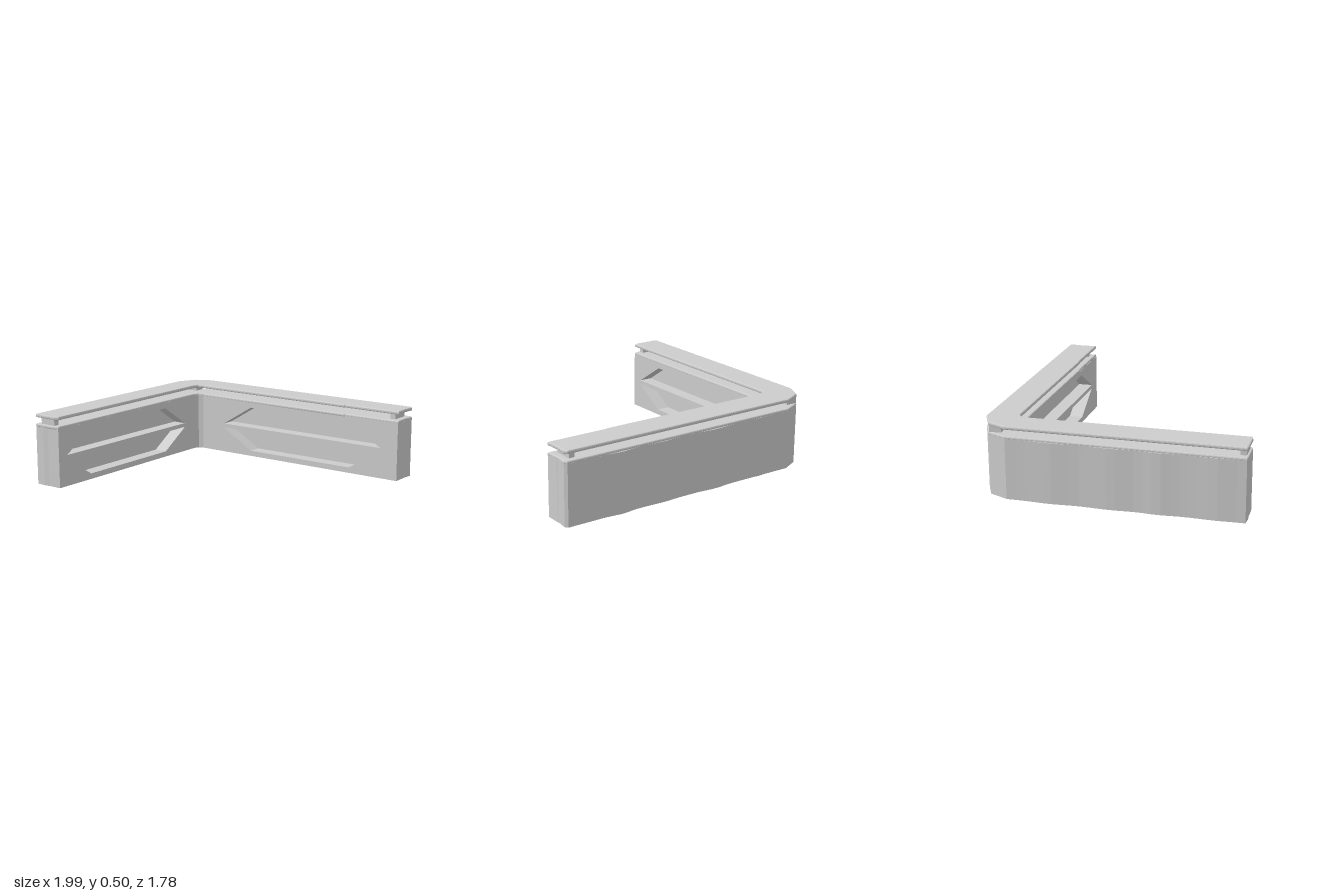
import * as THREE from 'three';

const mat = new THREE.MeshStandardMaterial({ color: 0xcccccc, side: THREE.DoubleSide });

const toShape = (pts) => new THREE.Shape(pts.map(([a, b]) => new THREE.Vector2(a, b)));

function addMesh(group, name, geometry) {
  const mesh = new THREE.Mesh(geometry, mat);
  mesh.name = name;
  group.add(mesh);
  return mesh;
}

// Extrudes a plan outline of [x, z] points upward from y0 to y1
function plate(outline, y0, y1, bevel = 0) {
  const geo = new THREE.ExtrudeGeometry(toShape(outline.map(([x, z]) => [x, -z])), {
    depth: y1 - y0 - 2 * bevel, bevelEnabled: bevel > 0,
    bevelThickness: bevel, bevelSize: bevel, bevelOffset: -bevel, bevelSegments: 2,
  });
  return geo.rotateX(-Math.PI / 2).translate(0, y0 + bevel, 0);
}

// Sum of soft bumps [centre, half width, height] along a wall
const bumps = (list, t) => list.reduce((s, [c, w, h]) =>
  s + (Math.abs(t - c) < w ? h * 0.5 * (1 + Math.cos(Math.PI * (t - c) / w)) : 0), 0);

const backBumps = [[-0.55, 0.08, 0.004], [-0.17, 0.16, 0.012], [0.25, 0.14, 0.007], [0.58, 0.12, 0.013]];
const sideBumps = [[-0.4, 0.2, 0.009], [0, 0.2, 0.008], [0.32, 0.15, 0.009], [0.68, 0.16, 0.006]];

// Outer boundary: front end of the side arm, round the corner, to the far end of the back arm
function outerWall(wavy) {
  const pts = [];
  for (let z = 0.88; z > -0.68; z -= 0.06) pts.push([-0.99 - (wavy ? bumps(sideBumps, z) : 0), z]);
  pts.push([-0.99, -0.69], [-0.93, -0.82], [-0.86, -0.855], [-0.8, -0.882]);
  for (let x = -0.74; x < 0.96; x += 0.06) pts.push([x, -0.88 - (wavy ? bumps(backBumps, x) : 0)]);
  pts.push([0.975, -0.88], [0.99, -0.86], [0.982, -0.78]);
  return pts;
}

const innerCorner = [[-0.73, -0.67], [-0.765, -0.655], [-0.78, -0.62]];

// Wall panel in its own plane with two half-hexagon openings
function panel(a0, a1, h0, h1, slope) {
  const s = toShape([[a0, 0], [a1, 0], [a1, 0.415], [a0, 0.415]]);
  s.holes.push(
    toShape([[h0, 0.22], [h0 + slope, 0.375], [h1 - slope, 0.375], [h1, 0.22]]),
    toShape([[h0, 0.19], [h1, 0.19], [h1 - slope, 0.04], [h0 + slope, 0.04]]));
  return new THREE.ExtrudeGeometry(s, { depth: 0.1, bevelEnabled: false });
}

export function createModel() {
  const model = new THREE.Group();
  model.name = 'cornerCounter';

  // Core behind the recessed panels, with uneven outer walls
  const core = [...outerWall(true), [0.985, -0.77], [-0.73, -0.77], ...innerCorner,
    [-0.88, -0.62], [-0.88, 0.88], [-0.92, 0.885]];
  addMesh(model, 'counterBody', plate(core, 0, 0.415));

  // Inner panels with openings
  addMesh(model, 'backArmPanel', panel(-0.73, 0.985, -0.53, 0.85, 0.255).translate(0, 0, -0.77));
  addMesh(model, 'sideArmPanel', panel(-0.88, 0.62, -0.8, 0.5, 0.235)
    .rotateY(Math.PI / 2).translate(-0.88, 0, 0));

  // Lower worktop and raised top shelf
  const top = [...outerWall(false), [0.988, -0.672], [0.55, -0.672], [0.55, -0.667],
    ...innerCorner, [-0.78, 0.875], [-0.81, 0.885], [-0.97, 0.885]];
  addMesh(model, 'lowerWorktop', plate(top, 0.408, 0.432, 0.008));
  addMesh(model, 'topShelf', plate(top, 0.475, 0.5, 0.008));

  // Spacers holding the shelf at the two ends and the corner
  [['sideEndSpacer', 0.12, 0.04, -0.885, 0.85],
    ['backEndSpacer', 0.04, 0.13, 0.92, -0.775],
    ['cornerSpacer', 0.08, 0.08, -0.89, -0.775]].forEach(([name, w, d, x, z]) =>
    addMesh(model, name, new THREE.BoxGeometry(w, 0.06, d)).position.set(x, 0.455, z));

  return model;
}
